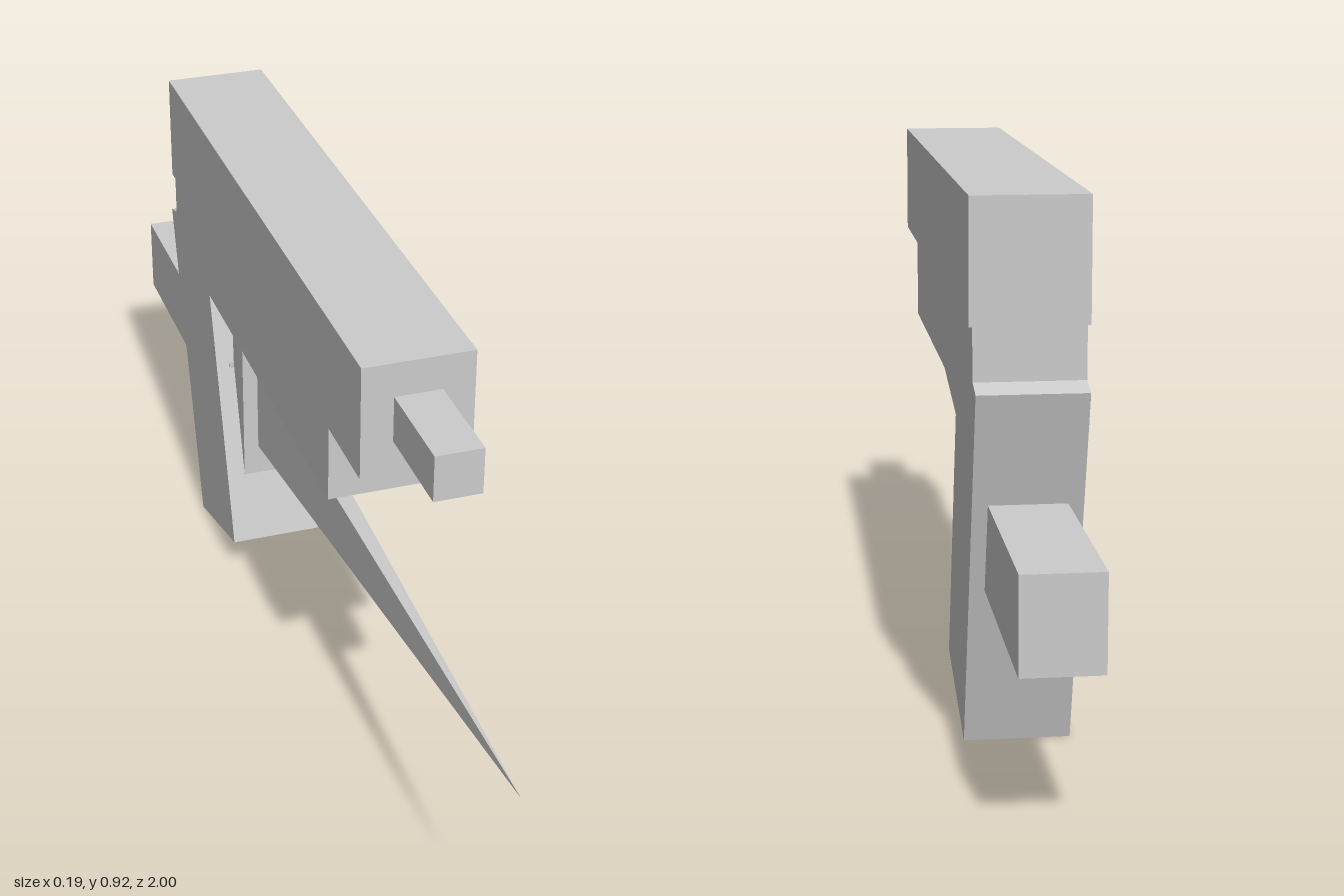
import * as THREE from 'three';

const material = new THREE.MeshStandardMaterial({ color: 0xcccccc, flatShading: true });

// Box given by its half width and its y and z ranges
function box(name, halfWidth, y0, y1, z0, z1) {
  const mesh = new THREE.Mesh(new THREE.BoxGeometry(halfWidth * 2, y1 - y0, z1 - z0), material);
  mesh.name = name;
  mesh.position.set(0, (y0 + y1) / 2, (z0 + z1) / 2);
  return mesh;
}

// Four-sided spike from a rectangular base to a single tip
function spike(name, halfWidth, y0, y1, zBase, tipY, tipZ) {
  const geometry = new THREE.BufferGeometry();
  geometry.setAttribute('position', new THREE.Float32BufferAttribute([
    -halfWidth, y0, zBase, halfWidth, y0, zBase,
    halfWidth, y1, zBase, -halfWidth, y1, zBase,
    0, tipY, tipZ,
  ], 3));
  geometry.setIndex([0, 1, 4, 1, 2, 4, 2, 3, 4, 3, 0, 4, 0, 2, 1, 0, 3, 2]);
  const flat = geometry.toNonIndexed();
  flat.computeVertexNormals();
  const mesh = new THREE.Mesh(flat, material);
  mesh.name = name;
  return mesh;
}

export function createModel() {
  const model = new THREE.Group();
  model.name = 'pistolWithKnife';

  // Pistol: slide, barrel, frame and raked grip
  const pistol = new THREE.Group();
  pistol.name = 'pistol';
  const grip = box('grip', 0.088, 0.028, 0.672, -0.6, -0.34);
  grip.position.set(0, 0.35, -0.47);
  grip.rotation.x = -Math.atan2(0.18, 0.62);
  pistol.add(
    box('slide', 0.094, 0.72, 0.92, -0.645, 0.53),
    box('barrel', 0.04, 0.78, 0.86, 0.5, 0.708),
    box('frame', 0.0885, 0.57, 0.73, -0.644, 0.355),
    grip,
  );

  // Knife passing through the grip: handle, guard, blade and spine block
  const knife = new THREE.Group();
  knife.name = 'knife';
  knife.add(
    box('knifeHandle', 0.063, 0.286, 0.437, -1, -0.356),
    box('knifeGuard', 0.053, 0.2, 0.524, -0.36, -0.294),
    spike('knifeBlade', 0.024, 0.27, 0.45, -0.31, 0.437, 1),
    box('bladeSpine', 0.024, 0.435, 0.466, -0.3, -0.075),
  );

  model.add(pistol, knife);
  return model;
}
